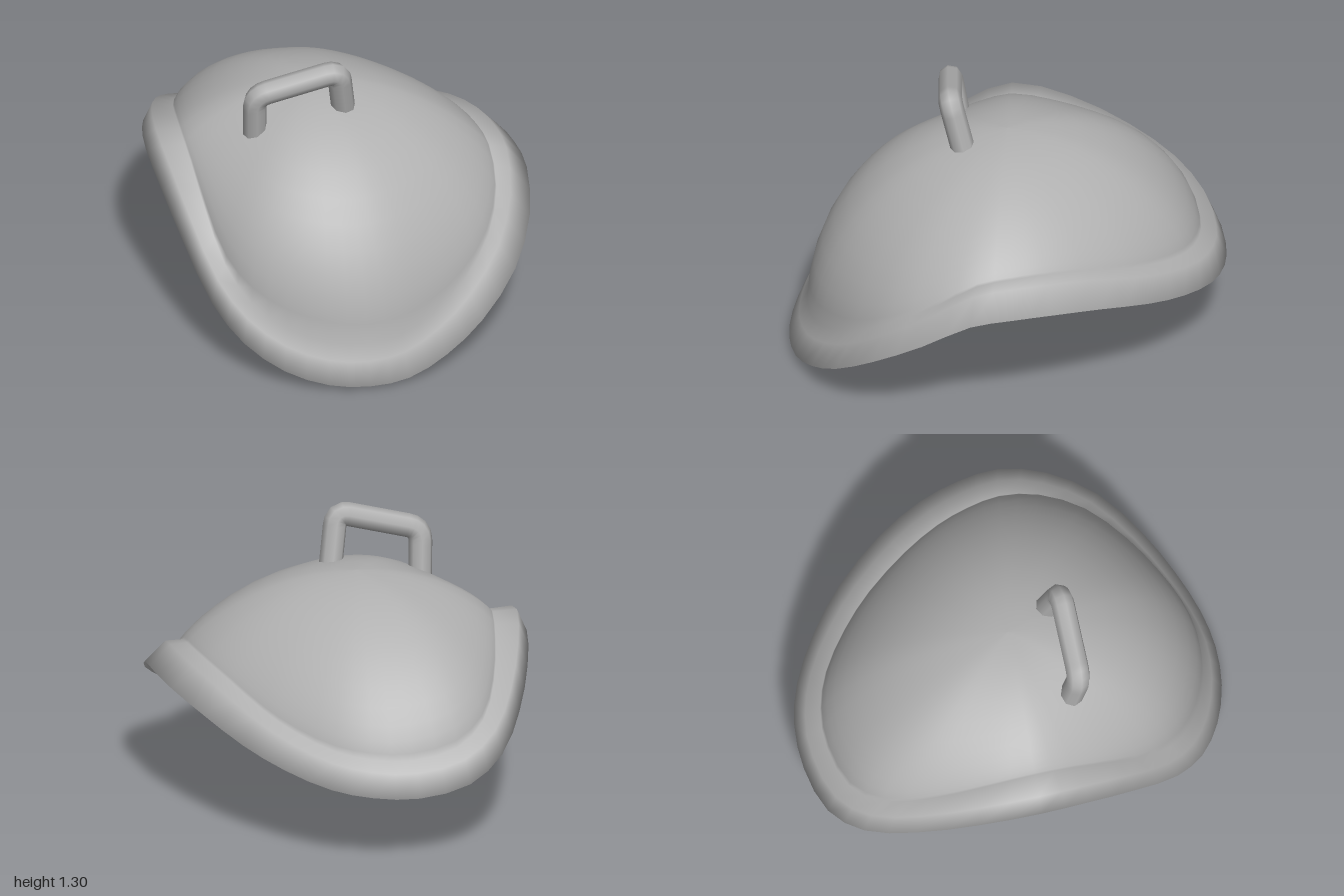
import * as THREE from 'three';

// Outermost line of the lip, counterclockwise from above, starting at the front
const LIP = [
  [-0.06, 0.02, 0.995], [0.12, 0.03, 0.98], [0.31, 0.09, 0.92], [0.5, 0.19, 0.825], [0.69, 0.34, 0.67],
  [0.81, 0.485, 0.46], [0.85, 0.605, 0.24], [0.84, 0.625, 0.05], [0.8, 0.62, -0.14], [0.71, 0.585, -0.36],
  [0.56, 0.51, -0.6], [0.4, 0.445, -0.77], [0.21, 0.39, -0.91], [0.03, 0.365, -0.98], [-0.18, 0.355, -1],
  [-0.42, 0.39, -0.96], [-0.59, 0.475, -0.84], [-0.71, 0.59, -0.63], [-0.8, 0.7, -0.36], [-0.85, 0.755, -0.08],
  [-0.835, 0.68, 0.15], [-0.79, 0.53, 0.39], [-0.71, 0.325, 0.61], [-0.6, 0.19, 0.765], [-0.44, 0.09, 0.885],
  [-0.25, 0.035, 0.965],
];
const SEGMENTS = 52;
const CENTER = new THREE.Vector3(-0.08, 0, 0);

// Dome curve from a base point up to the apex
function domeCurve(base, apexY) {
  const rightward = Math.max(0, CENTER.x - base.x);
  const power = 0.42 + 0.62 * Math.max(base.y, 0.1) - 0.2 * rightward;
  return Array.from({ length: 13 }, (_, i) => {
    const s = i < 12 ? Math.cos((i / 12) * Math.PI / 2) : 0;
    const point = CENTER.clone().lerp(base, s);
    point.y = base.y + (apexY - base.y) * Math.pow(1 - s * s, power);
    return point;
  });
}

// Lip and dome points at one place on the rim
function section(tip) {
  const out = tip.clone().sub(CENTER).setY(0).normalize();
  const at = (inset, dy) => tip.clone().addScaledVector(out, -inset).add(new THREE.Vector3(0, dy, 0));
  const leftward = Math.max(0, out.x);
  const grooveInset = 0.08 + 0.1 * tip.y + 0.03 * leftward;
  const grooveRise = 0.18 - 0.11 * tip.y;
  const bottom = at(0.085, -0.02);
  const outer = [
    bottom,
    tip,
    at(0.045 + 0.05 * leftward, 0.105),
    ...domeCurve(at(grooveInset, grooveRise), 1.08),
  ];
  const inner = [bottom, ...domeCurve(at(grooveInset + 0.008, grooveRise - 0.025), 1.062)].reverse();
  return { outer, inner };
}

// Closed loft through equal rows of points
function loft(sections) {
  const rows = sections[0].length;
  const index = [];
  for (let i = 0; i < sections.length; i++) {
    const a = i * rows;
    const b = ((i + 1) % sections.length) * rows;
    for (let j = 0; j < rows - 1; j++) {
      index.push(a + j, b + j, b + j + 1, a + j, b + j + 1, a + j + 1);
    }
  }
  const geometry = new THREE.BufferGeometry().setFromPoints(sections.flat());
  geometry.setIndex(index);
  geometry.computeVertexNormals();
  return geometry;
}

// Straight legs and bar joined by rounded corners
function handlePath() {
  const p = [[-0.41, 0.93, 0.195], [-0.42, 1.165, 0.235], [-0.035, 1.26, 0.265], [0.015, 0.93, 0.185]]
    .map((c) => new THREE.Vector3(...c));
  const path = new THREE.CurvePath();
  let start = p[0];
  for (const i of [1, 2]) {
    const toward = (q) => p[i].clone().addScaledVector(q.clone().sub(p[i]).normalize(), 0.06);
    const before = toward(p[i - 1]);
    const after = toward(p[i + 1]);
    path.add(new THREE.LineCurve3(start, before));
    path.add(new THREE.QuadraticBezierCurve3(before, p[i], after));
    start = after;
  }
  path.add(new THREE.LineCurve3(start, p[3]));
  return path;
}

export function createModel() {
  const group = new THREE.Group();
  const grey = new THREE.MeshStandardMaterial({ color: 0xb0b0b0 });
  grey.name = 'plain grey';
  const add = (name, geometry, parent = group) => {
    const mesh = new THREE.Mesh(geometry, grey);
    mesh.name = name;
    parent.add(mesh);
    return mesh;
  };

  // Curved shell: outside with its flared lip, and the hollow inside
  const rim = new THREE.CatmullRomCurve3(LIP.map((p) => new THREE.Vector3(...p)), true);
  const sections = Array.from({ length: SEGMENTS }, (_, i) => section(rim.getPoint(i / SEGMENTS)));
  add('shellOutside', loft(sections.map((s) => s.outer)));
  add('shellInside', loft(sections.map((s) => s.inner)));

  // Handle with closed leg ends
  const handle = new THREE.Group();
  handle.name = 'handle';
  group.add(handle);
  const path = handlePath();
  add('handleBar', new THREE.TubeGeometry(path, 40, 0.055, 8, false), handle);
  for (const [t, sign] of [[0, -1], [1, 1]]) {
    const end = add('handleEnd', new THREE.CircleGeometry(0.055, 8), handle);
    end.position.copy(path.getPoint(t));
    end.quaternion.setFromUnitVectors(new THREE.Vector3(0, 0, 1), path.getTangent(t).multiplyScalar(sign));
  }
  return group;
}
